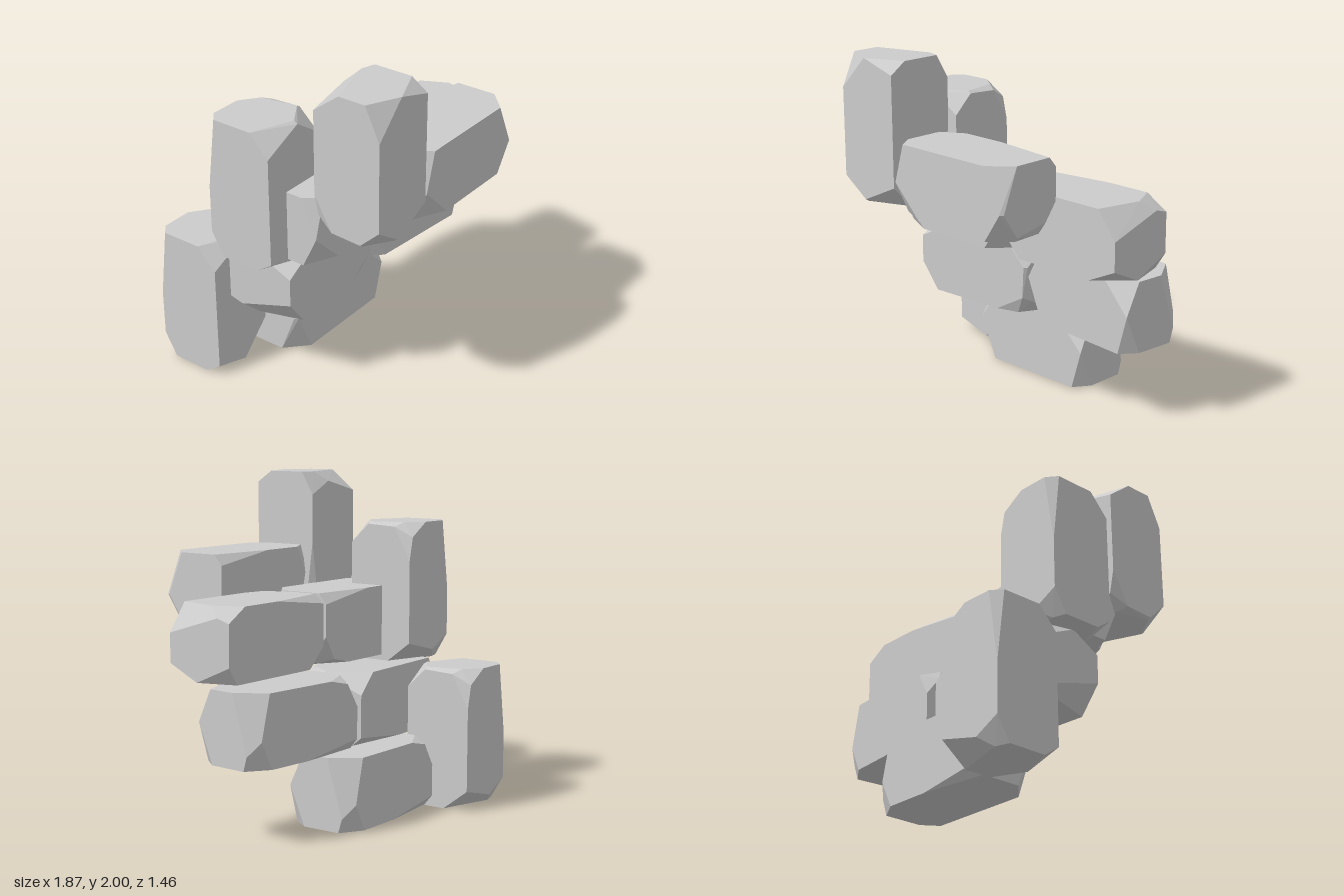
import * as THREE from 'three';
import { ConvexGeometry } from 'three/addons/geometries/ConvexGeometry.js';

// One upright chipped stone: hull of its end caps and the corners of its side faces
function stoneGeometry() {
  const s = 0.212, e = 0.424;
  const points = [
    // front face
    [-s, -0.295, s], [-0.04, -0.41, s], [s, -0.295, s], [s, 0.355, s], [-0.02, e, s], [-s, 0.23, s],
    // upper cap
    [-s, e, -0.05], [-s, e, 0.12], [0.13, e, -0.155], [s, e, -0.13], [s, e, 0.11],
    // back face
    [s, 0.285, -s], [0.05, 0.365, -s], [-s, 0.3, -s], [s, 0, -s], [-s, -0.2, -s], [-0.18, -0.34, -s],
    // lower cap
    [s, -e, -0.16], [0.15, -e, -s], [-0.04, -e, -s], [-0.15, -e, -0.13],
    [-0.19, -e, 0.09], [-0.04, -e, 0.19], [s, -e, 0.09],
    // lower left edge
    [-s, -0.4, -0.1], [-s, -0.41, 0.09],
  ];
  return new ConvexGeometry(points.map((p) => new THREE.Vector3(...p)));
}

export function createModel() {
  const group = new THREE.Group();
  group.name = 'stackedStones';
  const geometry = stoneGeometry();
  const material = new THREE.MeshStandardMaterial({ color: 0xcccccc, flatShading: true });
  const q = Math.PI / 2;

  // name, centre, quarter turns about x and z, small yaw
  const stones = [
    ['topUprightStone', [-0.58, 1.576, 0.52], 0, 0, 0],
    ['topLyingStone', [0.07, 1.342, 0.52], 0, 1, 0],
    ['middleUprightStone', [-0.723, 1.28, -0.1], 0, 2, 0],
    ['upperLyingStoneRight', [-0.365, 1.108, 0.1], 0, 1, 0],
    ['upperLyingStoneLeft', [0.507, 1.108, 0.1], 1, -1, 0],
    ['lowerLyingStoneRight', [-0.394, 0.65, -0.1], -1, 1, 0.055],
    ['lowerLyingStoneLeft', [0.48, 0.65, -0.1], 0, -1, -0.09],
    ['bottomUprightStone', [-0.723, 0.425, -0.52], 0, 2, 0],
    ['bottomLyingStone', [-0.08, 0.22, -0.28], 0, -1, 0],
  ];
  for (const [name, centre, turnX, turnZ, yaw] of stones) {
    const stone = new THREE.Mesh(geometry, material);
    stone.name = name;
    stone.position.set(...centre);
    stone.rotation.set(turnX * q, yaw, turnZ * q, 'YXZ');
    group.add(stone);
  }
  return group;
}
